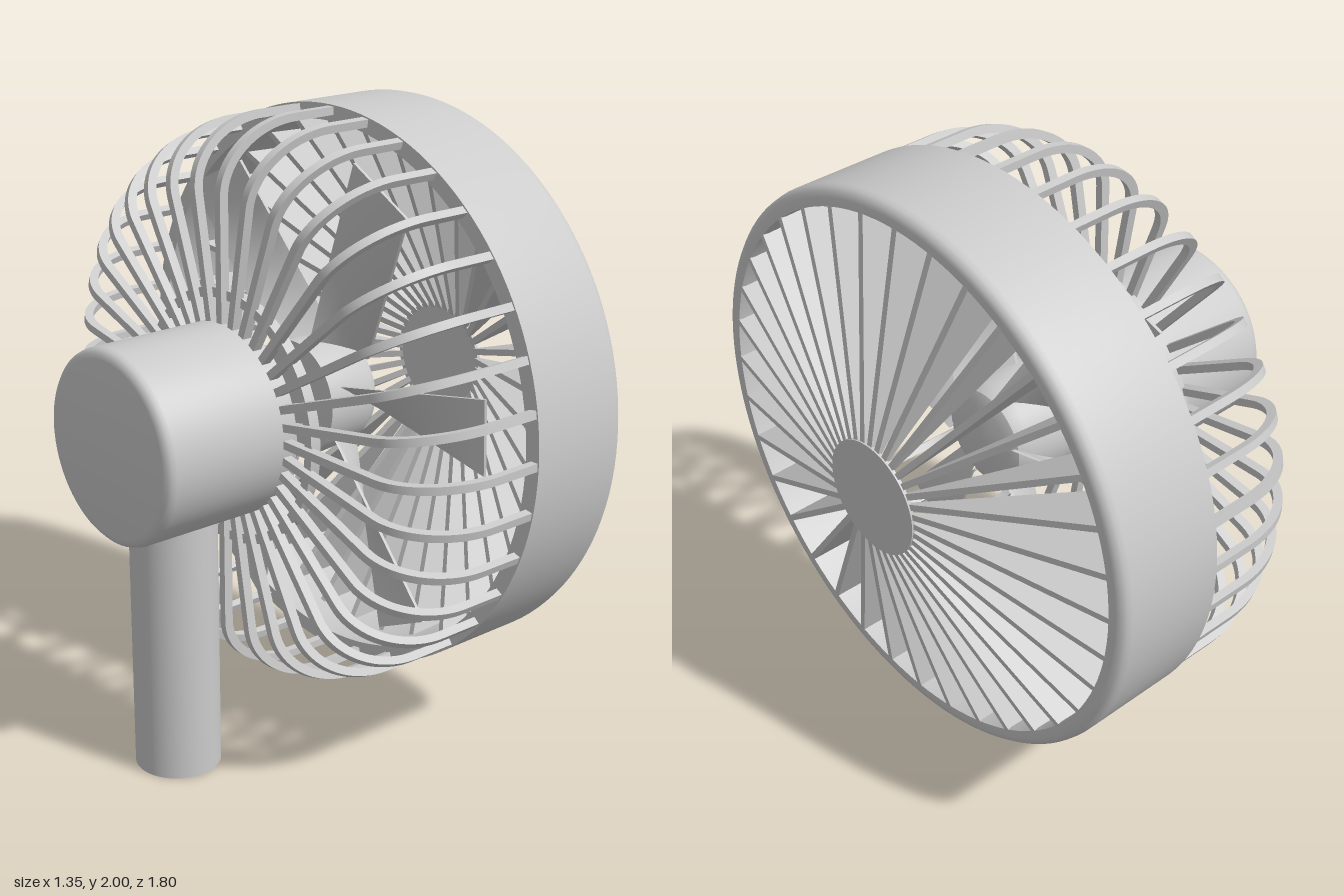
import * as THREE from 'three';
import { toCreasedNormals } from 'three/addons/utils/BufferGeometryUtils.js';

const mat = new THREE.MeshStandardMaterial({ color: 0xcccccc });

function add(parent, name, geo) {
  const m = new THREE.Mesh(geo, mat);
  m.name = name;
  parent.add(m);
  return m;
}

// Solid of revolution about the x axis from [x, radius] points listed with rising x on the outside
function turned(points, segments = 96) {
  const g = new THREE.LatheGeometry(points.map(([x, r]) => new THREE.Vector2(r, x)), segments);
  g.rotateZ(-Math.PI / 2);
  return toCreasedNormals(g, 0.6);
}

// Flat plate in the x / radius plane, centred on z = 0
function plate(shape, width) {
  const g = new THREE.ExtrudeGeometry(shape, { depth: width, bevelEnabled: false, curveSegments: 12 });
  g.translate(0, 0, -width / 2);
  return toCreasedNormals(g, 0.5);
}

// Repeats one geometry around the fan axis
function around(parent, name, geo, count, start = 0) {
  const group = new THREE.Group();
  group.name = name + 's';
  for (let i = 0; i < count; i++) {
    add(group, name, geo).rotation.x = start + (i * Math.PI * 2) / count;
  }
  parent.add(group);
}

// Twisted blade: steep and narrow at the root, wide and nearly flat at the tip
function bladeGeometry() {
  const g = new THREE.BoxGeometry(0.01, 1, 1, 1, 12, 6);
  const p = g.attributes.position;
  const lerp = THREE.MathUtils.lerp;
  for (let i = 0; i < p.count; i++) {
    const v = p.getY(i) + 0.5;
    const u = p.getZ(i) + 0.5;
    const half = lerp(0.05, 0.12, v);
    const x = lerp(0.08, 0.075, v) + u * lerp(0.17, 0.025, v);
    const y = lerp(0.14, lerp(0.795, 0.757, u), v);
    p.setXYZ(i, p.getX(i) + x, y, lerp(-half, half, u));
  }
  g.computeVertexNormals();
  return g;
}

export function createModel() {
  const model = new THREE.Group();
  model.name = 'deskFan';

  // Stand
  const pole = add(model, 'pole', new THREE.CylinderGeometry(0.135, 0.135, 0.95, 64));
  pole.position.set(-0.445, 0.475, 0);

  const head = new THREE.Group();
  head.name = 'fanHead';
  head.position.y = 1.1;
  model.add(head);

  // Motor housing with rounded back edge
  add(head, 'motorHousing', turned([
    [-0.675, 0], [-0.675, 0.27], [-0.671, 0.285], [-0.66, 0.296], [-0.645, 0.3],
    [-0.21, 0.3], [-0.21, 0],
  ]));

  // Outer rim with rounded front edge
  add(head, 'rim', turned([
    [0.175, 0.85], [0.175, 0.9], [0.5, 0.9], [0.517, 0.896], [0.53, 0.885],
    [0.535, 0.868], [0.535, 0.842], [0.52, 0.84], [0.175, 0.85],
  ], 128));

  // Rear cage wires and their inner ring
  const wire = new THREE.Shape();
  wire.moveTo(0.2, 0.895);
  wire.lineTo(0.03, 0.895);
  wire.absellipse(0.03, 0.68, 0.29, 0.215, Math.PI / 2, Math.PI, false);
  wire.lineTo(-0.26, 0.29);
  wire.lineTo(-0.23, 0.29);
  wire.lineTo(-0.23, 0.68);
  wire.absellipse(0.03, 0.68, 0.26, 0.19, Math.PI, Math.PI / 2, true);
  wire.lineTo(0.2, 0.87);
  around(head, 'rearWire', plate(wire, 0.025), 36);
  add(head, 'rearRing', turned([
    [-0.24, 0.37], [-0.24, 0.4], [-0.205, 0.4], [-0.205, 0.37], [-0.24, 0.37],
  ]));

  // Front grille: fins that deepen towards the rim, and a centre disc
  const fin = new THREE.Shape();
  fin.moveTo(0.67, 0.17);
  fin.lineTo(0.532, 0.86);
  fin.lineTo(0.28, 0.86);
  fin.lineTo(0.66, 0.17);
  around(head, 'frontFin', plate(fin, 0.02), 36);
  add(head, 'frontDisc', turned([[0.66, 0], [0.66, 0.185], [0.672, 0.185], [0.672, 0]]));

  // Propeller
  add(head, 'propellerHub', turned([
    [0.03, 0], [0.03, 0.185], [0.075, 0.185], [0.2, 0.175], [0.235, 0.155], [0.25, 0.12], [0.25, 0],
  ]));
  around(head, 'blade', bladeGeometry(), 6, THREE.MathUtils.degToRad(24.5));

  return model;
}
